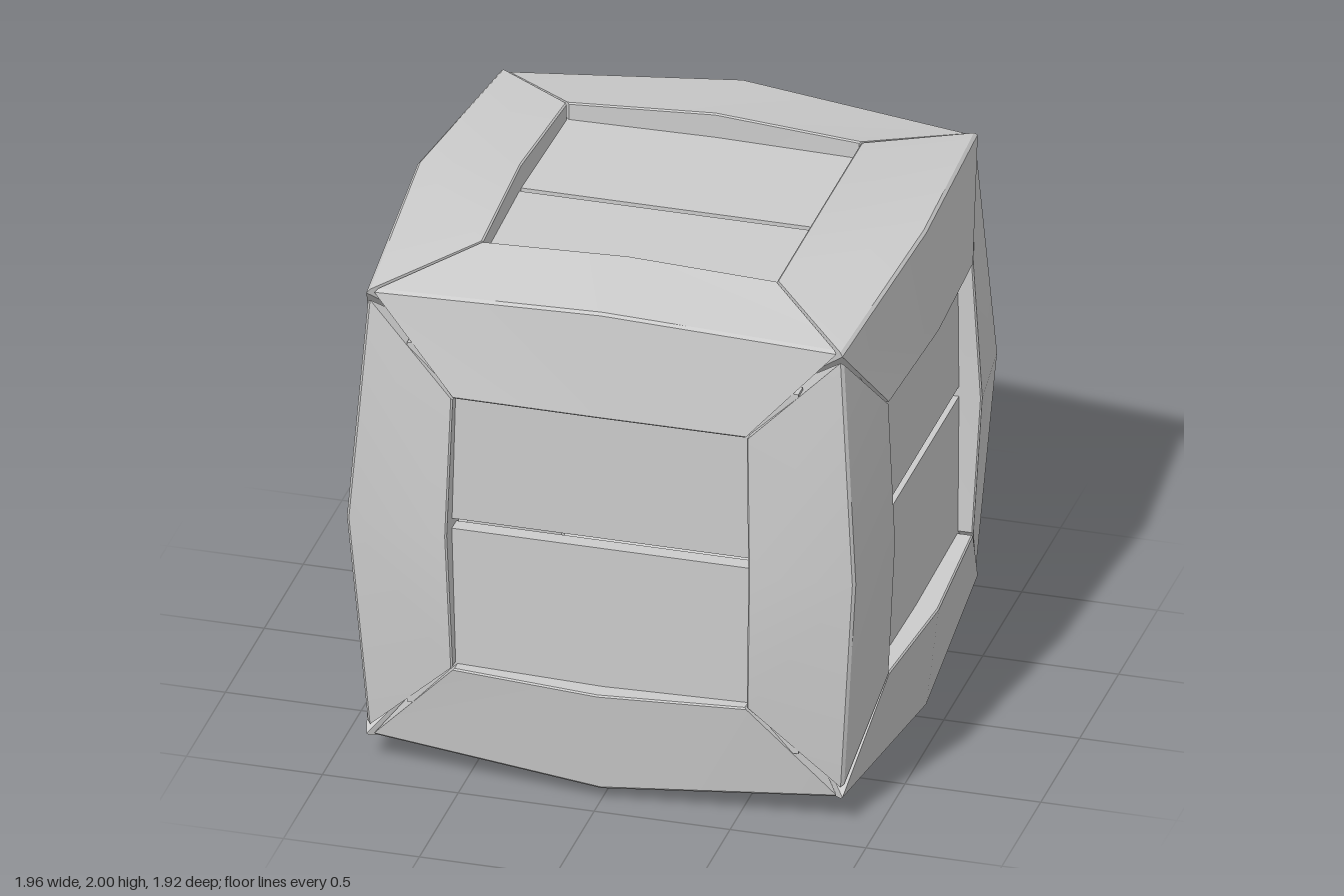
import * as THREE from 'three';
import { toCreasedNormals } from 'three/addons/utils/BufferGeometryUtils.js';

const HALF = [0.982, 1.0, 0.963]; // half extents in x, y, z
const INNER = 0.541; // half width of the opening at its corners
const MITRE_GAP = 0.007;

// Cut each corner [u, v, chamfer] of a closed outline into two points.
function chamfer(corners) {
  const n = corners.length, out = [];
  corners.forEach(([u, v, c], i) => {
    if (!c) { out.push([u, v]); return; }
    for (const k of [i - 1 + n, i + 1]) {
      const [pu, pv] = corners[k % n];
      const d = Math.hypot(pu - u, pv - v);
      out.push([u + (pu - u) / d * c, v + (pv - v) / d * c]);
    }
  });
  return out;
}

// Beam cross-section: inner core, inner lip, outer ridge, inner lip.
function section(hu, hv, ridgeDrop, lipDrop, inner) {
  return chamfer([
    [0.66, 0.66, 0],
    [0.8, inner, 0],
    [hu - lipDrop, inner, 0.006],
    [hu - ridgeDrop, hv - ridgeDrop, 0.009],
    [inner, hv - lipDrop, 0.006],
    [inner, 0.8, 0],
  ]);
}

// Mitred beam along one axis, bulging outwards at its middle.
function beamGeometry(axis, su, sv) {
  const u = (axis + 1) % 3, v = (axis + 2) % 3;
  const end = section(HALF[u], HALF[v], 0.108, 0.028, INNER);
  const mid = section(HALF[u], HALF[v], 0.047, 0, INNER + 0.014);
  const place = (a, [pu, pv]) => {
    const p = [0, 0, 0];
    p[axis] = a; p[u] = pu * su; p[v] = pv * sv;
    return p;
  };
  const rings = [
    end.map(p => place(MITRE_GAP - Math.min(...p), p)),
    mid.map(p => place(0, p)),
    end.map(p => place(Math.min(...p) - MITRE_GAP, p)),
  ];
  const pos = [], n = end.length;
  const tri = (a, b, c) => pos.push(...a, ...(su * sv > 0 ? [...b, ...c] : [...c, ...b]));
  for (let i = 0; i < 2; i++) {
    for (let j = 0; j < n; j++) {
      const k = (j + 1) % n, r = rings[i], s = rings[i + 1];
      tri(r[j], r[k], s[k]);
      tri(r[j], s[k], s[j]);
    }
  }
  for (let j = 1; j < n - 1; j++) {
    tri(rings[0][0], rings[0][j + 1], rings[0][j]);
    tri(rings[2][0], rings[2][j], rings[2][j + 1]);
  }
  const g = new THREE.BufferGeometry();
  g.setAttribute('position', new THREE.Float32BufferAttribute(pos, 3));
  return toCreasedNormals(g, 0.5);
}

export function createModel() {
  const model = new THREE.Group();
  model.name = 'crate';
  const body = new THREE.Group();
  body.position.y = 1;
  model.add(body);
  const mat = new THREE.MeshStandardMaterial({ color: 0xcccccc });
  const add = (geometry, name) => {
    const m = new THREE.Mesh(geometry, mat);
    m.name = name;
    body.add(m);
    return m;
  };

  // Twelve frame beams
  const beamNames = ['crossBeam', 'uprightBeam', 'depthBeam'];
  for (let axis = 0; axis < 3; axis++)
    for (const su of [-1, 1])
      for (const sv of [-1, 1]) add(beamGeometry(axis, su, sv), beamNames[axis]);

  // Two recessed planks on each face, with a narrow slit between them
  const faces = [
    { name: 'sidePlank', normal: 0, split: 1, depth: 0.085 },
    { name: 'lidPlank', normal: 1, split: 2, depth: 0.095 },
    { name: 'frontPlank', normal: 2, split: 1, depth: 0.072 },
  ];
  const reach = 0.72, thickness = 0.06;
  for (const { name, normal, split, depth } of faces) {
    for (const side of [-1, 1]) {
      const slit = split === 2 ? [0, 0.024] : side > 0 ? [-0.002, 0.038] : [0.004, 0.02];
      for (const [lo, hi] of [[-reach, slit[0]], [slit[1], reach]]) {
        const size = [2 * reach, 2 * reach, 2 * reach], at = [0, 0, 0];
        size[normal] = thickness;
        size[split] = hi - lo;
        at[normal] = side * (HALF[normal] - depth - thickness / 2);
        at[split] = (lo + hi) / 2;
        add(new THREE.BoxGeometry(...size), name).position.set(...at);
      }
    }
  }
  return model;
}
